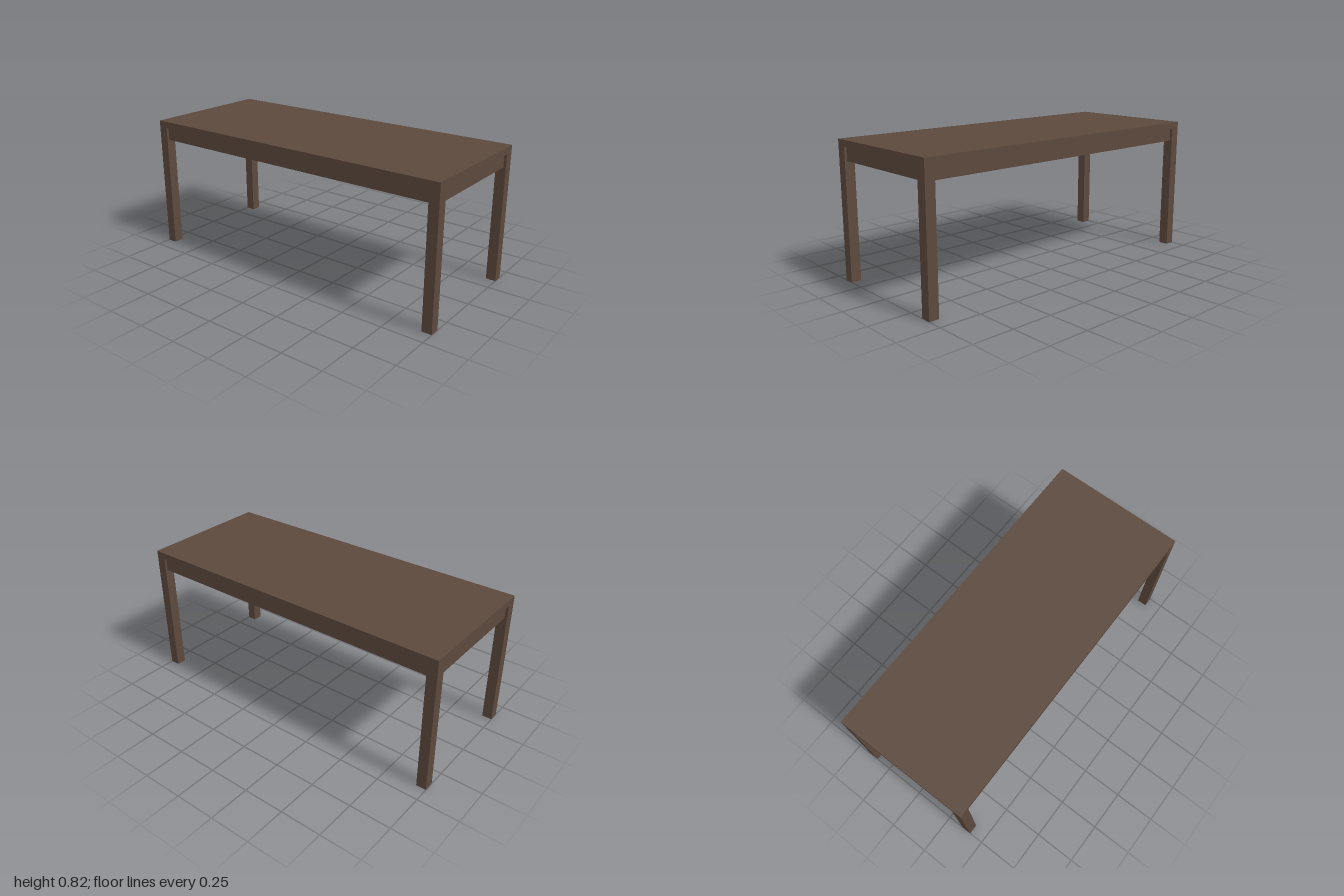
import * as THREE from 'three';

const WIDTH = 2, DEPTH = 0.82, HEIGHT = 0.82;
const TOP = 0.04, LEG = 0.06;
const APRON_HEIGHT = 0.08, APRON_THICK = 0.02, RECESS = 0.015;

export function createModel() {
  const table = new THREE.Group();
  table.name = 'table';

  const darkWood = new THREE.MeshStandardMaterial({ color: 0x5c493d });
  darkWood.name = 'darkWood';

  const addBox = (name, w, h, d, x, y, z) => {
    const mesh = new THREE.Mesh(new THREE.BoxGeometry(w, h, d), darkWood);
    mesh.name = name;
    mesh.position.set(x, y, z);
    table.add(mesh);
  };

  // Flat top, flush with the outer faces of the legs
  addBox('tableTop', WIDTH, TOP, DEPTH, 0, HEIGHT - TOP / 2, 0);

  // Four square legs at the corners
  const legHeight = HEIGHT - TOP;
  for (const [sx, side] of [[1, 'Left'], [-1, 'Right']]) {
    for (const [sz, end] of [[1, 'front'], [-1, 'back']]) {
      addBox(`${end}${side}Leg`, LEG, legHeight, LEG,
        sx * (WIDTH - LEG) / 2, legHeight / 2, sz * (DEPTH - LEG) / 2);
    }
  }

  // Aprons between the legs, set back from the edge of the top
  const apronY = legHeight - APRON_HEIGHT / 2;
  const inset = RECESS + APRON_THICK / 2;
  for (const [s, longName, shortName] of [[1, 'frontApron', 'leftApron'], [-1, 'backApron', 'rightApron']]) {
    addBox(longName, WIDTH - 2 * LEG, APRON_HEIGHT, APRON_THICK, 0, apronY, s * (DEPTH / 2 - inset));
    addBox(shortName, APRON_THICK, APRON_HEIGHT, DEPTH - 2 * LEG, s * (WIDTH / 2 - inset), apronY, 0);
  }

  return table;
}
